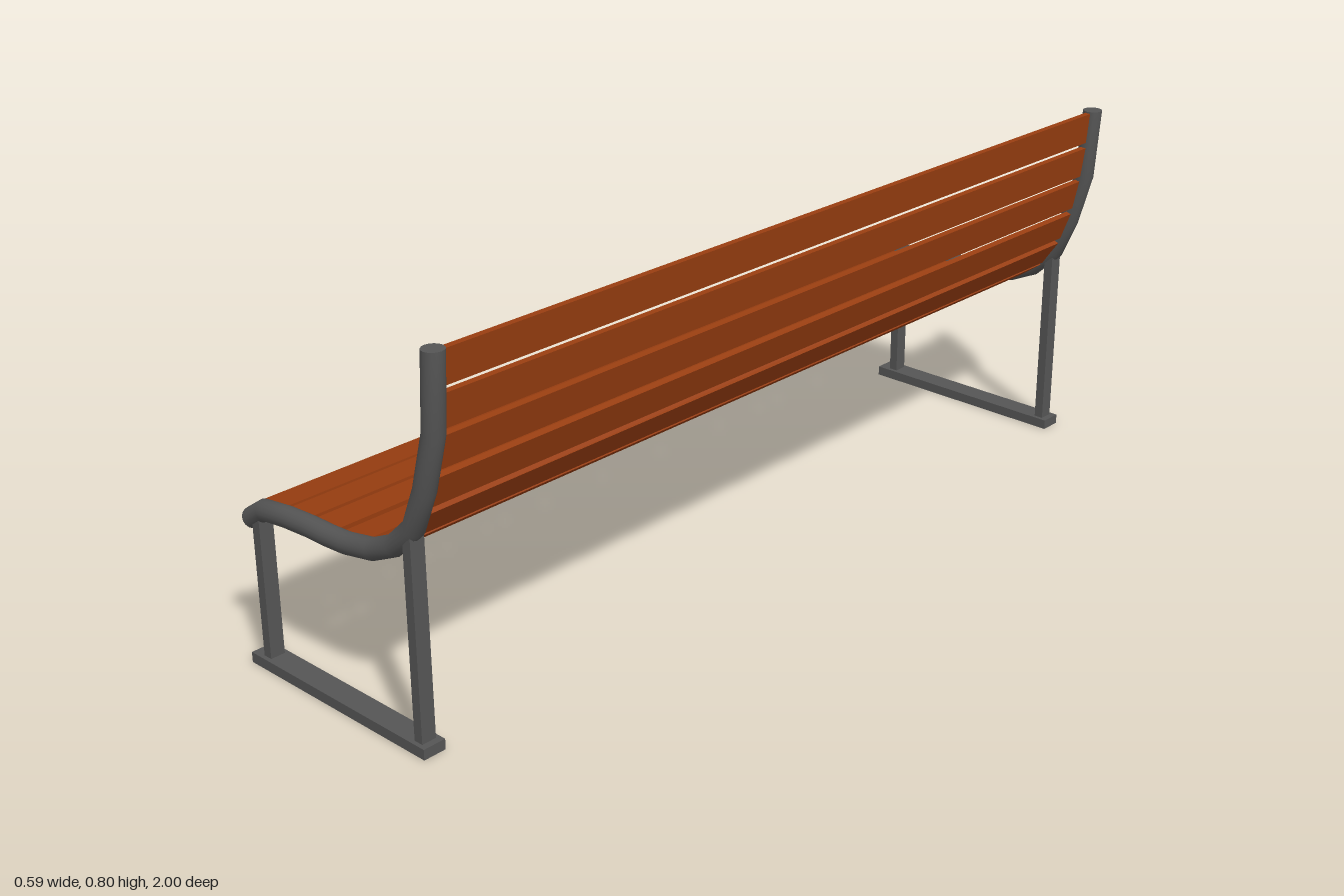
import * as THREE from 'three';

const steel = new THREE.MeshStandardMaterial({ color: 0x555555 });
const wood = new THREE.MeshStandardMaterial({ color: 0x973d10 });

// Side rail centreline, from the seat's front lip to the top of the back
const RAIL = [
  [-0.283, 0.305], [-0.24, 0.335], [-0.17, 0.344], [-0.1, 0.348], [-0.05, 0.348], [0.005, 0.351],
  [0.08, 0.365], [0.14, 0.393], [0.197, 0.447], [0.232, 0.53], [0.264, 0.645], [0.274, 0.8],
].map(([x, y]) => new THREE.Vector3(x, y, 0));

// Slat centres in side profile
const SLATS = [
  [-0.238, 0.336], [-0.158, 0.344], [-0.079, 0.348], [0, 0.35], [0.077, 0.364], [0.142, 0.394],
  [0.194, 0.448], [0.23, 0.521], [0.252, 0.601], [0.265, 0.681], [0.272, 0.762],
];

// Curve that visits the given points exactly, one per tube segment
class PointCurve extends THREE.Curve {
  constructor(points) {
    super();
    this.points = points;
  }
  getPointAt(u) {
    return this.points[Math.round(u * (this.points.length - 1))].clone();
  }
  getTangentAt(u) {
    const p = this.points, n = p.length - 1, i = Math.round(u * n);
    if (i === n) return new THREE.Vector3(0, 1, 0); // top is cut level
    const t = new THREE.Vector3();
    if (i > 0) t.add(p[i].clone().sub(p[i - 1]).normalize());
    t.add(p[i + 1].clone().sub(p[i]).normalize());
    return t.normalize();
  }
}

function add(parent, name, geometry, material, x, y, z) {
  const mesh = new THREE.Mesh(geometry, material);
  mesh.name = name;
  mesh.position.set(x, y, z);
  parent.add(mesh);
  return mesh;
}

function createEndFrame() {
  const frame = new THREE.Group();
  const radius = 0.0215;

  // Bent tube with closed ends
  const curve = new PointCurve(RAIL);
  add(frame, 'sideRail', new THREE.TubeGeometry(curve, RAIL.length - 1, radius, 16), steel, 0, 0, 0);
  for (const [u, sign] of [[0, -1], [1, 1]]) {
    const p = curve.getPointAt(u);
    const cap = add(frame, 'railCap', new THREE.CircleGeometry(radius, 16), steel, p.x, p.y, p.z);
    cap.quaternion.setFromUnitVectors(new THREE.Vector3(0, 0, 1), curve.getTangentAt(u).multiplyScalar(sign));
  }

  // Legs and ground bar
  for (const [name, x, top] of [['frontLeg', -0.251, 0.325], ['rearLeg', 0.193, 0.432]]) {
    const height = top - 0.01;
    add(frame, name, new THREE.BoxGeometry(0.021, height, 0.032), steel, x, 0.01 + height / 2, 0);
  }
  add(frame, 'groundBar', new THREE.BoxGeometry(0.508, 0.022, 0.05), steel, -0.036, 0.011, 0);
  return frame;
}

export function createModel() {
  const bench = new THREE.Group();
  bench.name = 'bench';

  // End frames
  for (const side of [-1, 1]) {
    const frame = createEndFrame();
    frame.name = side > 0 ? 'leftFrame' : 'rightFrame';
    frame.position.z = side * 0.975;
    bench.add(frame);
  }

  // Wooden slats, each turned to follow its neighbours
  const slats = new THREE.Group();
  slats.name = 'slats';
  bench.add(slats);
  const board = new THREE.BoxGeometry(0.069, 0.012, 1.93);
  SLATS.forEach(([x, y], i) => {
    const a = SLATS[Math.max(i - 1, 0)];
    const b = SLATS[Math.min(i + 1, SLATS.length - 1)];
    const slat = add(slats, i < 6 ? 'seatSlat' : 'backSlat', board, wood, x, y, 0);
    slat.rotation.z = Math.atan2(b[1] - a[1], b[0] - a[0]);
  });

  return bench;
}
